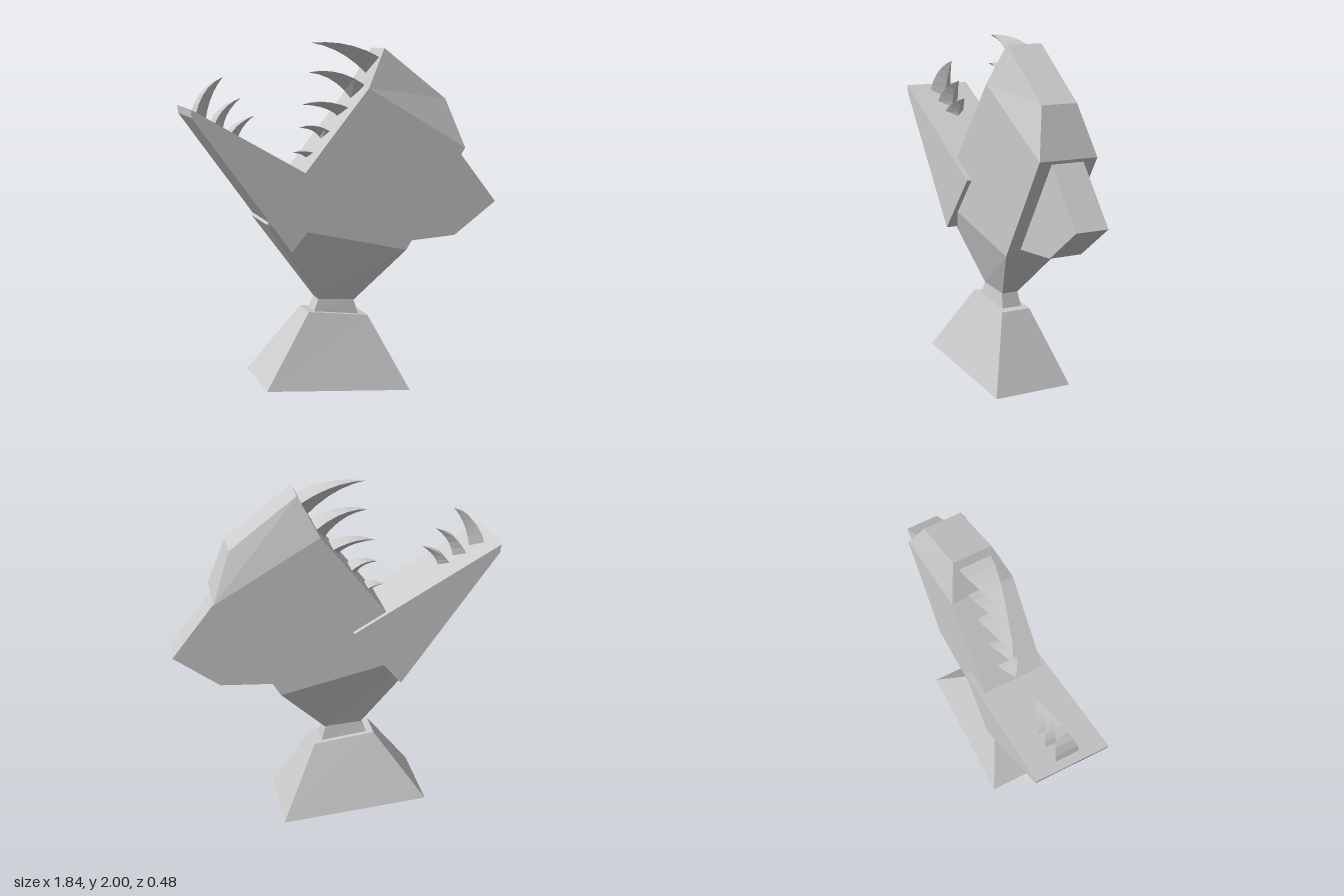
import * as THREE from 'three';

const material = new THREE.MeshStandardMaterial({ color: 0xcccccc, flatShading: true });

function addMesh(parent, name, geometry) {
  const mesh = new THREE.Mesh(geometry, material);
  mesh.name = name;
  parent.add(mesh);
}

// Skin a list of rings (counter-clockwise seen from the last one) and cap both ends
function loft(rings) {
  const n = rings[0].length;
  const index = [];
  for (let r = 0; r < rings.length - 1; r++) {
    for (let i = 0; i < n; i++) {
      const a = r * n + i, b = r * n + (i + 1) % n;
      index.push(a, b, b + n, a, b + n, a + n);
    }
  }
  const top = (rings.length - 1) * n;
  for (let i = 1; i < n - 1; i++) {
    index.push(0, i + 1, i, top, top + i, top + i + 1);
  }
  const geometry = new THREE.BufferGeometry();
  geometry.setAttribute('position', new THREE.Float32BufferAttribute(rings.flat(2), 3));
  geometry.setIndex(index);
  const faceted = geometry.toNonIndexed();
  faceted.computeVertexNormals();
  return faceted;
}

// Rectangular section: left point, right point, half depth
const section = ([x0, y0, x1, y1, h]) => [[x0, y0, h], [x1, y1, h], [x1, y1, -h], [x0, y0, -h]];

// Side outline given an even depth
function slab(points, depth) {
  const shape = new THREE.Shape(points.map(([x, y]) => new THREE.Vector2(x, y)));
  return new THREE.ExtrudeGeometry(shape, { depth, bevelEnabled: false }).translate(0, 0, -depth / 2);
}

// Curved fang: flat outer face, inner ridge, both running to the tip
function fang(outer, outerBend, inner, innerBend, tip, halfWidth, flip) {
  const curve = (a, b) => new THREE.QuadraticBezierCurve(
    new THREE.Vector2(...a), new THREE.Vector2(...b), new THREE.Vector2(...tip));
  const back = curve(outer, outerBend), ridge = curve(inner, innerBend);
  const rings = [];
  const steps = 5;
  for (let s = 0; s <= steps; s++) {
    const t = Math.min(s / steps, 0.995);
    const o = back.getPoint(t), i = ridge.getPoint(t);
    const w = halfWidth * (1 - Math.pow(t, 1.4));
    const ring = [[o.x, o.y, w], [i.x, i.y, 0], [o.x, o.y, -w]];
    rings.push(flip ? ring.reverse() : ring);
  }
  return loft(rings);
}

export function createModel() {
  const model = new THREE.Group();
  model.name = 'openMouthedPlant';

  // Tilted pedestal and short neck
  addMesh(model, 'pedestal', loft([
    [-0.53, 0.075, 0.325, 0, 0.24],
    [-0.24, 0.475, 0.115, 0.43, 0.09],
  ].map(section)));
  addMesh(model, 'neck', loft([
    [-0.205, 0.46, 0.07, 0.425, 0.063],
    [-0.17, 0.54, 0.04, 0.525, 0.05],
  ].map(section)));

  // Head: throat, widest line, brow, crown
  addMesh(model, 'head', loft([
    [-0.17, 0.535, 0.045, 0.52, 0.05],
    [-0.505, 1.01, 0.32, 0.82, 0.176],
    [0.09, 1.75, 0.68, 1.40, 0.176],
    [0.205, 1.97, 0.58, 1.68, 0.108],
  ].map(section)));

  // Wedge jaw wrapped around the head, and the block behind it
  addMesh(model, 'lowerJaw', slab([[-0.92, 1.655], [-0.915, 1.61], [-0.37, 0.85], [-0.095, 1.18]], 0.41));
  addMesh(model, 'backBlock', slab(
    [[0.665, 1.385], [0.5, 1.2], [0.3, 0.87], [0.34, 0.855], [0.655, 0.875], [0.915, 1.065]], 0.195));

  // Fangs: outer base, outer bend, inner base, inner bend, tip, half width
  const upper = new THREE.Group();
  upper.name = 'upperTeeth';
  [
    [[0.18, 1.92], [0.005, 2.02], [0.135, 1.825], [-0.013, 1.972], [-0.19, 2.0], 0.09],
    [[0.095, 1.765], [-0.05, 1.87], [0.045, 1.68], [-0.055, 1.82], [-0.21, 1.835], 0.085],
    [[0.01, 1.635], [-0.12, 1.695], [-0.03, 1.58], [-0.10, 1.65], [-0.25, 1.655], 0.08],
    [[-0.095, 1.50], [-0.18, 1.56], [-0.135, 1.445], [-0.16, 1.52], [-0.265, 1.525], 0.07],
    [[-0.195, 1.385], [-0.25, 1.405], [-0.22, 1.35], [-0.25, 1.38], [-0.305, 1.385], 0.06],
  ].forEach((f, i) => addMesh(upper, `upperTooth${i + 1}`, fang(...f, true)));
  model.add(upper);

  const lower = new THREE.Group();
  lower.name = 'lowerTeeth';
  [
    [[-0.87, 1.61], [-0.83, 1.77], [-0.80, 1.58], [-0.78, 1.72], [-0.70, 1.815], 0.07],
    [[-0.765, 1.56], [-0.72, 1.665], [-0.705, 1.53], [-0.69, 1.63], [-0.60, 1.70], 0.068],
    [[-0.675, 1.505], [-0.63, 1.57], [-0.62, 1.48], [-0.60, 1.545], [-0.525, 1.60], 0.062],
  ].forEach((f, i) => addMesh(lower, `lowerTooth${i + 1}`, fang(...f, false)));
  model.add(lower);

  return model;
}
